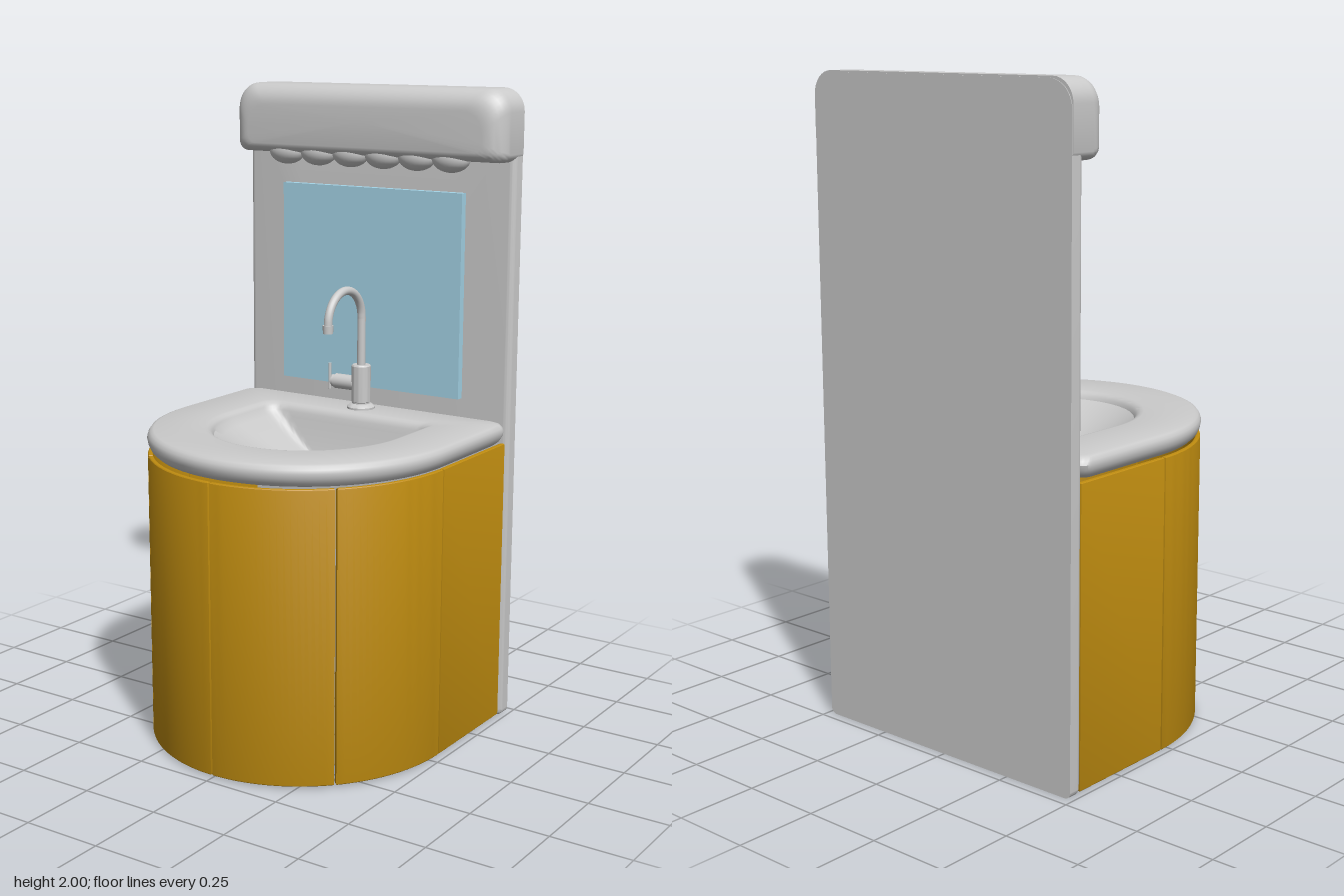
import * as THREE from 'three';
import { toCreasedNormals } from 'three/addons/utils/BufferGeometryUtils.js';

const grey = new THREE.MeshStandardMaterial({ color: 0xcccccc, side: THREE.DoubleSide });
const wood = new THREE.MeshStandardMaterial({ color: 0xbf8c10, side: THREE.DoubleSide });
const glass = new THREE.MeshStandardMaterial({ color: 0xa5d5e8 });

function add(parent, name, geometry, material = grey, x = 0, y = 0, z = 0) {
  const mesh = new THREE.Mesh(geometry, material);
  mesh.name = name;
  mesh.position.set(x, y, z);
  parent.add(mesh);
  return mesh;
}

// Skin over a list of closed rings with equal point counts
function loft(rings, crease = 0.6) {
  const n = rings[0].length, index = [];
  for (let i = 0; i < rings.length - 1; i++) {
    for (let j = 0; j < n; j++) {
      const a = i * n + j, b = i * n + (j + 1) % n;
      index.push(a, b, b + n, a, b + n, a + n);
    }
  }
  const g = new THREE.BufferGeometry().setFromPoints(rings.flat());
  g.setIndex(index);
  return toCreasedNormals(g, crease);
}

// Upright slab with rounded corners and a rounded front edge
function slab({ w, y0, y1, z0, z1, rTop, rBottom, fillet, filletBottom }) {
  const ring = (k, z) => {
    const e = fillet * k, x = w - e, top = y1 - e, bottom = y0 + filletBottom * k;
    const corners = [
      [x, top, rTop, 1, 1, 0], [-x, top, rTop, -1, 1, 1],
      [-x, bottom, rBottom, -1, -1, 2], [x, bottom, rBottom, 1, -1, 3],
    ];
    return corners.flatMap(([cx, cy, r, sx, sy, q]) => Array.from({ length: 9 }, (_, i) => {
      const t = (q + i / 8) * Math.PI / 2;
      return new THREE.Vector3(cx - sx * r + r * Math.cos(t), cy - sy * r + r * Math.sin(t), z);
    }));
  };
  const cap = z => ring(0, z).map(() => new THREE.Vector3(0, (y0 + y1) / 2, z));
  const rings = [cap(z0), ring(0, z0)];
  for (let i = 0; i <= 8; i++) {
    const t = i / 8 * Math.PI / 2;
    rings.push(ring(1 - Math.cos(t), z1 - fillet * (1 - Math.sin(t))));
  }
  rings.push(cap(z1));
  return loft(rings);
}

// D-shaped plan outline: half ellipse in front, straight sides, rounded back corners
function dRing({ w, back, mid, front, r }, inset, y) {
  const W = w - inset, zb = back + inset, zf = front - inset, half = [];
  for (let i = 0; i <= 28; i++) {
    const t = i / 28 * Math.PI / 2;
    half.push([W * Math.sin(t), mid + (zf - mid) * Math.cos(t)]);
  }
  for (let i = 1; i < 6; i++) half.push([W, mid + (zb + r - mid) * i / 6]);
  for (let i = 0; i <= 8; i++) {
    const t = i / 8 * Math.PI / 2;
    half.push([W - r + r * Math.cos(t), zb + r - r * Math.sin(t)]);
  }
  for (let i = 1; i <= 10; i++) half.push([(W - r) * (1 - i / 10), zb]);
  const mirrored = half.slice(1, -1).reverse().map(([x, z]) => [-x, z]);
  return [...half, ...mirrored].map(([x, z]) => new THREE.Vector3(x, y, z));
}

function countertop() {
  const outer = { w: 0.492, back: -0.42, mid: -0.04, front: 0.467, r: 0.04 };
  const rim = { w: 0.292, back: -0.255, mid: -0.05, front: 0.262, r: 0.045 };
  const rings = [dRing(rim, 0, 0.91)];
  // rounded outer edge
  const edge = [[0.035, 0.91], [0.022, 0.914], [0.01, 0.925], [0.003, 0.94], [0, 0.955],
    [0.003, 0.966], [0.01, 0.976], [0.02, 0.98]];
  edge.forEach(([e, y]) => rings.push(dRing(outer, e, y)));
  // rolled basin rim
  const lip = [[-0.03, 0.98], [-0.02, 0.978], [-0.011, 0.973], [-0.004, 0.965], [0, 0.955]];
  lip.forEach(([e, y]) => rings.push(dRing(rim, e, y)));
  // bowl falling to the drain point
  const drain = new THREE.Vector3(0, 0.79, -0.195);
  for (let i = 1; i <= 16; i++) {
    const s = 1 - i / 16;
    rings.push(dRing(rim, 0, 0).map(p => new THREE.Vector3(
      p.x * s, drain.y + (0.955 - drain.y) * s ** 1.5, drain.z + (p.z - drain.z) * s)));
  }
  return loft(rings);
}

// Curved cabinet panel between two positions along the half outline
function cabinetPanel(points) {
  const bevel = 0.006, thick = 0.004;
  const curve = points.map(([x, z]) => new THREE.Vector2(x, -z));
  const inner = curve.map((p, i) => {
    const d = curve[Math.min(i + 1, curve.length - 1)].clone().sub(curve[Math.max(i - 1, 0)]).normalize();
    return new THREE.Vector2(p.x - d.y * thick, p.y + d.x * thick);
  });
  const g = new THREE.ExtrudeGeometry(new THREE.Shape([...curve, ...inner.reverse()]), {
    depth: 0.905 - 2 * bevel, bevelThickness: bevel, bevelSize: bevel, bevelSegments: 3,
  });
  g.rotateX(-Math.PI / 2);
  g.translate(0, 0.005 + bevel, 0);
  return toCreasedNormals(g, 0.5);
}

function cabinet() {
  const group = new THREE.Group();
  group.name = 'cabinet';
  const w = 0.477, mid = -0.04, depth = 0.505, gap = 0.009;
  const arc = (a, b) => Array.from({ length: 19 }, (_, i) => {
    const t = a + (b - a) * i / 18;
    return [w * Math.sin(t), mid + depth * Math.cos(t)];
  });
  const seams = [-Math.PI / 2, -0.785, 0, 0.785, Math.PI / 2];
  for (let i = 0; i < 4; i++) {
    add(group, 'frontPanel', cabinetPanel(arc(seams[i] + gap * 2, seams[i + 1] - gap * 2)), wood);
  }
  add(group, 'leftPanel', cabinetPanel([[w, mid - gap], [w, -0.415]]), wood);
  add(group, 'rightPanel', cabinetPanel([[-w, -0.415], [-w, mid - gap]]), wood);
  group.position.x = -0.003;
  return group;
}

function faucet() {
  const group = new THREE.Group();
  group.name = 'faucet';
  group.position.set(0.003, 0.98, -0.335);
  const profile = [[0, 0], [0.045, 0], [0.045, 0.006], [0.036, 0.014], [0.028, 0.016], [0.028, 0.02],
    [0.031, 0.022], [0.031, 0.138], [0.028, 0.142], [0, 0.142]];
  const body = new THREE.LatheGeometry(profile.map(p => new THREE.Vector2(...p)), 32);
  add(group, 'faucetBody', toCreasedNormals(body, 0.5));
  // gooseneck spout
  const path = new THREE.CurvePath();
  const V = (y, z) => new THREE.Vector3(0, y, z);
  const bend = Array.from({ length: 17 }, (_, i) => {
    const t = Math.PI * (1 - i / 16);
    return V(0.295 + 0.097 * Math.sin(t), 0.097 + 0.097 * Math.cos(t));
  });
  path.add(new THREE.LineCurve3(V(0.13, 0), V(0.295, 0)));
  path.add(new THREE.CatmullRomCurve3(bend));
  path.add(new THREE.LineCurve3(V(0.295, 0.194), V(0.275, 0.194)));
  add(group, 'spout', new THREE.TubeGeometry(path, 80, 0.0135, 16));
  add(group, 'nozzle', new THREE.CylinderGeometry(0.017, 0.016, 0.026, 24), grey, 0, 0.284, 0.194);
  // side handle
  add(group, 'handleStem', new THREE.CylinderGeometry(0.024, 0.024, 0.075, 24), grey, -0.058, 0.078, 0)
    .rotation.z = Math.PI / 2;
  add(group, 'handleCap', new THREE.CylinderGeometry(0.019, 0.019, 0.016, 24), grey, -0.102, 0.078, 0)
    .rotation.z = Math.PI / 2;
  add(group, 'lever', new THREE.CylinderGeometry(0.005, 0.005, 0.085, 12), grey, -0.111, 0.095, 0.014);
  return group;
}

export function createModel() {
  const model = new THREE.Group();
  model.name = 'washstand';
  add(model, 'backPanel', slab({ w: 0.49, y0: 0, y1: 1.995, z0: -0.47, z1: -0.42,
    rTop: 0.08, rBottom: 0.02, fillet: 0.018, filletBottom: 0.018 }));
  add(model, 'lampHood', slab({ w: 0.493, y0: 1.78, y1: 2, z0: -0.468, z1: -0.32,
    rTop: 0.07, rBottom: 0.03, fillet: 0.065, filletBottom: 0.03 }));
  // row of lamps under the hood
  for (let i = 0; i < 6; i++) {
    add(model, 'lamp', new THREE.SphereGeometry(1, 24, 16), grey, -0.307 + 0.121 * i, 1.786, -0.37)
      .scale.set(0.064, 0.042, 0.041);
  }
  add(model, 'mirror', new THREE.BoxGeometry(0.665, 0.645, 0.03), glass, -0.008, 1.358, -0.411);
  add(model, 'countertop', countertop());
  model.add(cabinet(), faucet());
  return model;
}
